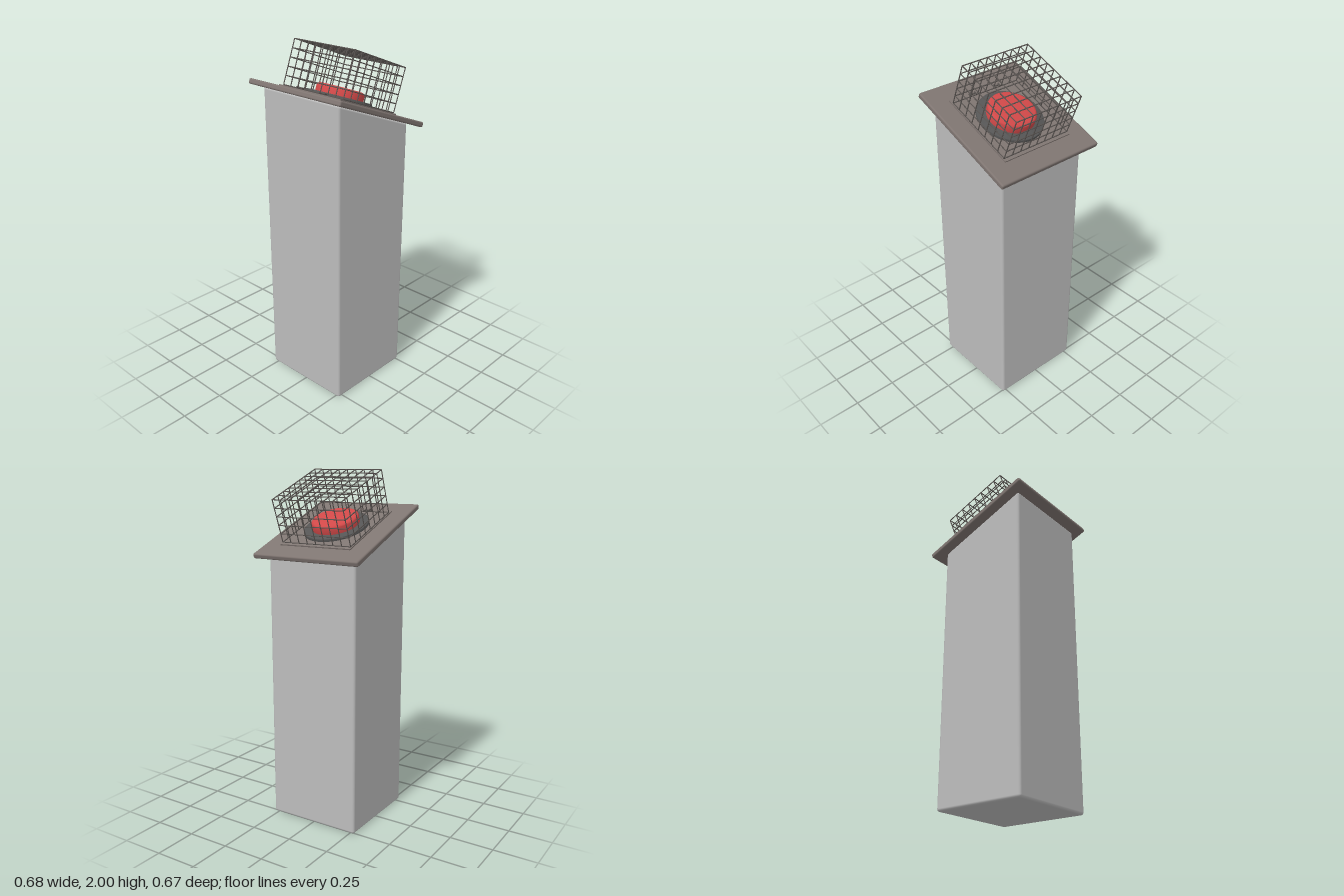
import * as THREE from 'three';
import { mergeGeometries, toCreasedNormals } from 'three/addons/utils/BufferGeometryUtils.js';
import { RoundedBoxGeometry } from 'three/addons/geometries/RoundedBoxGeometry.js';

const TILT = THREE.MathUtils.degToRad(21);

function material(name, color) {
  const m = new THREE.MeshStandardMaterial({ color });
  m.name = name;
  return m;
}

function addMesh(parent, name, geometry, mat, x = 0, y = 0, z = 0) {
  const mesh = new THREE.Mesh(geometry, mat);
  mesh.name = name;
  mesh.position.set(x, y, z);
  parent.add(mesh);
  return mesh;
}

// Thin round bar between two points
function bar(a, b, radius = 0.003) {
  const from = new THREE.Vector3(...a), to = new THREE.Vector3(...b);
  const dir = to.clone().sub(from);
  const g = new THREE.CylinderGeometry(radius, radius, dir.length(), 6);
  g.applyQuaternion(new THREE.Quaternion().setFromUnitVectors(new THREE.Vector3(0, 1, 0), dir.clone().normalize()));
  const mid = from.add(to).multiplyScalar(0.5);
  return g.translate(mid.x, mid.y, mid.z);
}

// Disc with a rounded top edge, standing on y = 0
function roundedDisc(radius, height, fillet) {
  const pts = [new THREE.Vector2(0, 0), new THREE.Vector2(radius, 0)];
  for (let i = 0; i <= 5; i++) {
    const a = (i / 5) * Math.PI / 2;
    pts.push(new THREE.Vector2(radius - fillet + Math.cos(a) * fillet, height - fillet + Math.sin(a) * fillet));
  }
  pts.push(new THREE.Vector2(0, height));
  return toCreasedNormals(new THREE.LatheGeometry(pts, 48), 0.6);
}

// Open-bottomed wire box
function cageGeometry(x0, x1, y0, y1, hz, cells, rows) {
  const bars = [];
  for (let i = 0; i <= cells; i++) {
    const x = x0 + (x1 - x0) * i / cells;
    const z = -hz + 2 * hz * i / cells;
    bars.push(bar([x, y1, -hz], [x, y1, hz]), bar([x0, y1, z], [x1, y1, z]));
    for (const s of [-1, 1]) bars.push(bar([x, y0, s * hz], [x, y1, s * hz]));
    for (const xe of [x0, x1]) bars.push(bar([xe, y0, z], [xe, y1, z]));
  }
  for (let j = 0; j < rows; j++) {
    const y = y0 + (y1 - y0) * j / rows;
    for (const s of [-1, 1]) bars.push(bar([x0, y, s * hz], [x1, y, s * hz]));
    for (const xe of [x0, x1]) bars.push(bar([xe, y, -hz], [xe, y, hz]));
  }
  return mergeGeometries(bars);
}

export function createModel() {
  const model = new THREE.Group();
  model.name = 'buttonPedestal';
  const grey = material('column grey', 0xbcbcbc);
  const brown = material('plate brown grey', 0x7f7571);
  const dark = material('ring dark grey', 0x555555);
  const red = material('button red', 0xd04848);
  const wire = material('wire grey', 0x5a5552);

  // Column with a slanted top
  const column = new RoundedBoxGeometry(0.55, 1.655, 0.555, 3, 0.015);
  column.translate(-0.01, 1.655 / 2, 0);
  const p = column.attributes.position;
  for (let i = 0; i < p.count; i++) {
    if (p.getY(i) > 0.8) p.setY(i, p.getY(i) - Math.tan(TILT) * p.getX(i));
  }
  addMesh(model, 'column', column, grey);

  // Everything on the slanted head shares one tilted frame
  const head = new THREE.Group();
  head.name = 'slantedHead';
  head.position.y = 1.667;
  head.rotation.z = -TILT;
  model.add(head);

  addMesh(head, 'topPlate', new RoundedBoxGeometry(0.72, 0.03, 0.67, 3, 0.009), brown);
  addMesh(head, 'cageBase', new THREE.BoxGeometry(0.48, 0.008, 0.45), brown, 0, 0.018, 0);
  addMesh(head, 'buttonRing', roundedDisc(0.185, 0.018, 0.004), dark, 0, 0.02, 0);
  addMesh(head, 'button', roundedDisc(0.134, 0.05, 0.018), red, 0, 0.036, 0);
  addMesh(head, 'wireCage', cageGeometry(-0.213, 0.221, 0.025, 0.275, 0.219, 8, 5), wire);

  // Hinges along the upper edge of the cage
  for (const s of [-1, 1]) {
    const z = s * 0.083;
    const parts = [bar([-0.222, 0.029, z - 0.02], [-0.222, 0.029, z + 0.02], 0.004)];
    for (const d of [-0.018, 0.018]) {
      parts.push(bar([-0.232, 0.029, z + d], [-0.211, 0.029, z + d], 0.005));
    }
    addMesh(head, s > 0 ? 'frontHinge' : 'backHinge', mergeGeometries(parts), wire);
  }
  return model;
}
